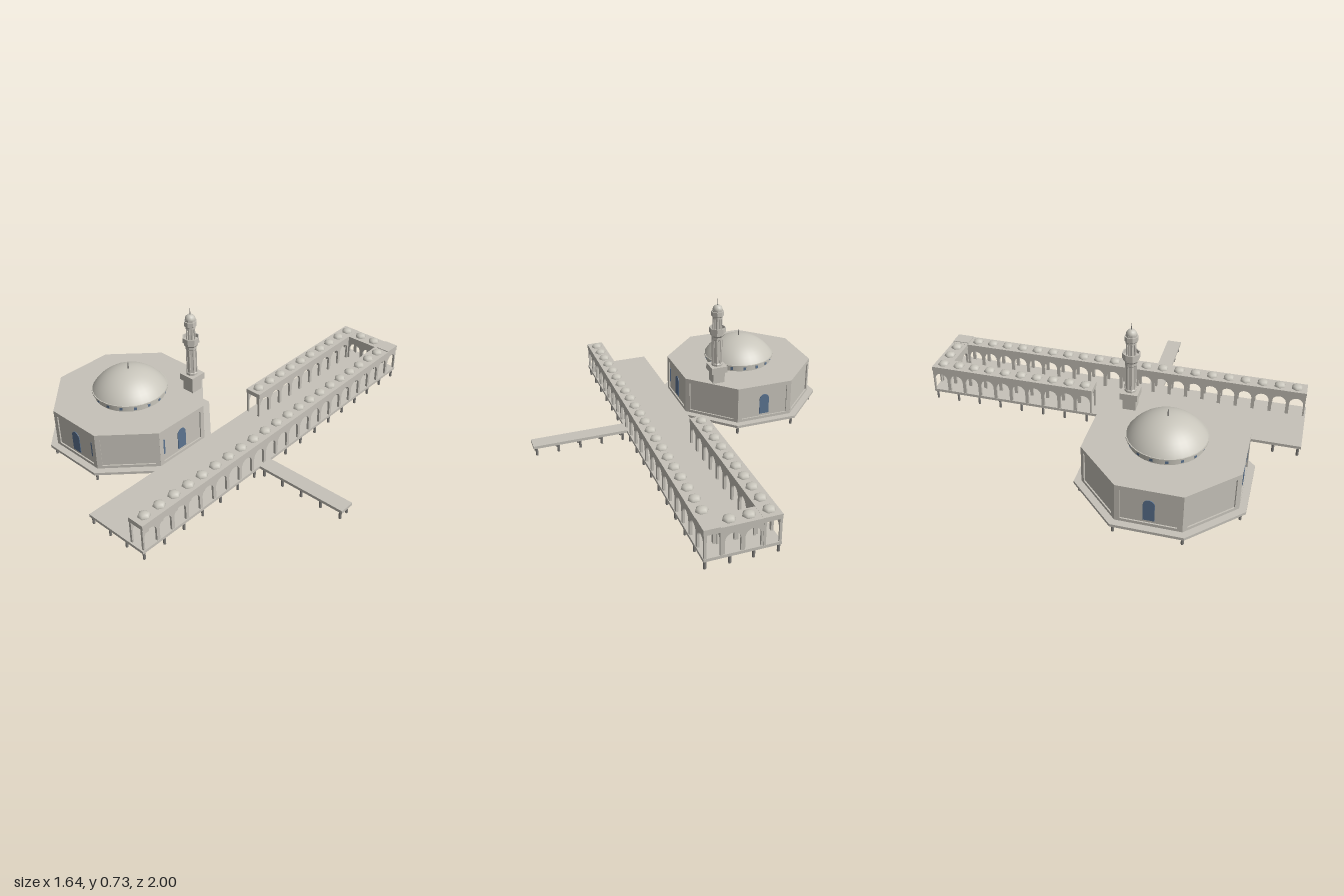
import * as THREE from 'three';
import { mergeGeometries } from 'three/addons/utils/BufferGeometryUtils.js';

const mat = (name, color, extra = {}) => {
  const m = new THREE.MeshStandardMaterial({ color, ...extra });
  m.name = name;
  return m;
};

export function createModel() {
  const stone = mat('stone', 0xc6c2b9, { flatShading: true });
  const domeStone = mat('domeStone', 0xc8c5bb);
  const glass = mat('blueGlass', 0x5b7390);
  const pileGrey = mat('pileGrey', 0x85837f);
  const model = new THREE.Group();

  const add = (parent, name, geo, material, x = 0, y = 0, z = 0) => {
    const m = new THREE.Mesh(geo, material);
    m.name = name;
    m.position.set(x, y, z);
    parent.add(m);
    return m;
  };
  // box given by its limits
  const slab = (name, x0, x1, y0, y1, z0, z1) =>
    add(model, name, new THREE.BoxGeometry(x1 - x0, y1 - y0, z1 - z0), stone,
      (x0 + x1) / 2, (y0 + y1) / 2, (z0 + z1) / 2);
  // regular octagon prism with flat sides facing the axes
  const octagon = (apothem, h) => {
    const r = apothem / Math.cos(Math.PI / 8);
    return new THREE.CylinderGeometry(r, r, h, 8).rotateY(Math.PI / 8);
  };

  // ---- decks
  const CX = -0.413, CZ = 0.387, DECK = 0.06;
  slab('walkwayDeck', -0.035, 0.325, 0.045, DECK, -1, 1);
  slab('jettyDeck', 0.325, 0.82, 0.045, DECK, 0.14, 0.22);
  add(model, 'octagonDeck', octagon(0.408, 0.014), stone, CX, 0.0525, CZ);

  // ---- piles around the deck edges
  const spots = [];
  for (let i = 0; i <= 16; i++) {
    const z = -0.985 + i * 1.97 / 16;
    spots.push([-0.027, z], [0.313, z]);
  }
  for (const z of [-0.985, 0.985]) spots.push([0.09, z], [0.2, z]);
  for (const x of [0.345, 0.46, 0.575, 0.69, 0.803]) spots.push([x, 0.155], [x, 0.207]);
  for (let i = 0; i < 8; i++) {
    const a = (i + 0.5) * Math.PI / 4;
    const x = CX + Math.cos(a) * 0.415, z = CZ + Math.sin(a) * 0.415;
    spots.push([x, z]);
  }
  add(model, 'piles', mergeGeometries(spots.map(([x, z]) =>
    new THREE.CylinderGeometry(0.007, 0.007, 0.048, 6).translate(x, 0.024, z))), pileGrey);

  // ---- octagonal hall
  const hall = new THREE.Group();
  hall.name = 'hall';
  hall.position.set(CX, 0, CZ);
  model.add(hall);
  add(hall, 'hallWalls', octagon(0.367, 0.199), stone, 0, 0.1595, 0);

  const frame = new THREE.Shape([[-0.155, 0.06], [0.155, 0.06], [0.155, 0.26], [-0.155, 0.26]]
    .map(p => new THREE.Vector2(...p)));
  frame.holes.push(new THREE.Path([[-0.13, 0.075], [-0.13, 0.237], [0.13, 0.237], [0.13, 0.075]]
    .map(p => new THREE.Vector2(...p))));
  const frameGeo = new THREE.ExtrudeGeometry(frame, { depth: 0.008, bevelEnabled: false });

  const pane = (w, y0, y1) => {
    const s = new THREE.Shape();
    s.moveTo(-w, y0);
    s.lineTo(w, y0);
    s.lineTo(w, y1 - w);
    s.absarc(0, y1 - w, w, 0, Math.PI, false);
    return new THREE.ExtrudeGeometry(s, { depth: 0.004, bevelEnabled: false, curveSegments: 8 });
  };
  const windowGeo = pane(0.027, 0.088, 0.202), slitGeo = pane(0.005, 0.115, 0.2);
  for (let i = 0; i < 8; i++) {
    const face = new THREE.Group();
    face.name = 'wallFace';
    face.rotation.y = i * Math.PI / 4;
    hall.add(face);
    add(face, 'wallFrame', frameGeo, stone, 0, 0, 0.366);
    if (i % 2 === 0) add(face, 'archedWindow', windowGeo, glass, 0, 0, 0.366);
    if (i === 0) add(face, 'slitWindow', slitGeo, glass, 0.121, 0, 0.366);
    if (i === 2) add(face, 'slitWindow', slitGeo, glass, -0.121, 0, 0.366);
  }
  // roof filling to the top of the frames
  add(hall, 'hallRoof', octagon(0.3735, 0.008), stone, 0, 0.256, 0);

  // ---- drum, great dome and finial
  add(hall, 'drum', new THREE.CylinderGeometry(0.184, 0.184, 0.036, 32), domeStone, 0, 0.277, 0);
  add(hall, 'domeRim', new THREE.CylinderGeometry(0.195, 0.195, 0.008, 32), domeStone, 0, 0.293, 0);
  const R = 0.228, capH = 0.105;
  add(hall, 'greatDome', new THREE.SphereGeometry(R, 32, 10, 0, Math.PI * 2, 0, Math.acos(1 - capH / R)),
    domeStone, 0, 0.4 - R, 0);
  add(hall, 'domeFinial', new THREE.CylinderGeometry(0.002, 0.004, 0.036, 6), pileGrey, 0, 0.416, 0);
  for (let i = 0; i < 16; i++) {
    const a = (i + 0.5) * Math.PI / 8;
    const w = add(hall, 'drumWindow', new THREE.BoxGeometry(0.015, 0.02, 0.004), glass,
      Math.sin(a) * 0.184, 0.277, Math.cos(a) * 0.184);
    w.rotation.y = a;
  }

  // ---- minaret
  const tower = new THREE.Group();
  tower.name = 'minaret';
  tower.position.set(-0.19, 0, 0.155);
  model.add(tower);
  add(tower, 'minaretFoot', new THREE.BoxGeometry(0.066, 0.065, 0.066), stone, 0, 0.2905, 0);
  add(tower, 'minaretPlinth', new THREE.BoxGeometry(0.088, 0.035, 0.088), stone, 0, 0.3375, 0);
  const turned = (name, pts, sides = 8) => add(tower, name, new THREE.LatheGeometry(
    pts.map(p => new THREE.Vector2(...p)), sides).rotateY(Math.PI / sides), stone);
  turned('minaretShaft', [[0.03, 0.355], [0.03, 0.365], [0.026, 0.37], [0.026, 0.5], [0.03, 0.505],
    [0.03, 0.52], [0.038, 0.53], [0.038, 0.542], [0.045, 0.545], [0.045, 0.572], [0.04, 0.572],
    [0.04, 0.552], [0, 0.552]]);
  turned('lanternCore', [[0.015, 0.552], [0.015, 0.632]]);
  turned('lanternCrown', [[0, 0.622], [0.027, 0.622], [0.027, 0.632], [0.034, 0.638], [0.034, 0.662],
    [0.028, 0.662], [0.028, 0.672], [0, 0.672]]);
  for (let i = 0; i < 8; i++) {
    const a = (i + 0.5) * Math.PI / 4, c = Math.cos(a), s = Math.sin(a);
    add(tower, 'shaftRib', new THREE.CylinderGeometry(0.004, 0.004, 0.135, 6), stone, c * 0.0255, 0.435, s * 0.0255);
    add(tower, 'lanternColumn', new THREE.CylinderGeometry(0.004, 0.004, 0.075, 6), stone, c * 0.021, 0.587, s * 0.021);
  }
  add(tower, 'minaretDome', new THREE.SphereGeometry(0.027, 12, 6, 0, Math.PI * 2, 0, Math.PI / 2),
    domeStone, 0, 0.67, 0);
  add(tower, 'minaretSpire', new THREE.CylinderGeometry(0.001, 0.003, 0.036, 6), pileGrey, 0, 0.712, 0);

  // ---- arcades: rows of open arches under a domed roof
  const archWall = (n, pitch) => {
    const s = new THREE.Shape(), r = 0.0365, spring = 0.125;
    s.moveTo(0, DECK);
    for (let i = 0; i < n; i++) {
      const c = (i + 0.5) * pitch;
      s.lineTo(c - r, DECK);
      s.lineTo(c - r, spring);
      s.absarc(c, spring, r, Math.PI, 0, true);
      s.lineTo(c + r, DECK);
    }
    s.lineTo(n * pitch, DECK);
    s.lineTo(n * pitch, 0.188);
    s.lineTo(0, 0.188);
    return new THREE.ExtrudeGeometry(s, { depth: 0.012, bevelEnabled: false, curveSegments: 10 });
  };
  // wall running along z, starting at z = -1
  const sideWall = (name, n, x) =>
    add(model, name, archWall(n, 0.0905).rotateY(-Math.PI / 2).translate(0.006, 0, 0), stone, x, 0, -0.999);
  for (const x of [0.243, 0.316]) sideWall('longArcadeWall', 22, x);
  for (const x of [-0.027, 0.047]) sideWall('shortArcadeWall', 10, x);
  for (const z of [-0.997, -0.923]) add(model, 'endArcadeWall', archWall(2, 0.092), stone, 0.053, 0, z);

  slab('longArcadeRoof', 0.235, 0.325, 0.178, 0.202, -1, 0.993);
  slab('shortArcadeRoof', -0.035, 0.055, 0.178, 0.202, -1, -0.092);
  slab('endArcadeRoof', 0.055, 0.235, 0.178, 0.201, -1, -0.908);
  slab('cornerRoof', 0.248, 0.325, 0.202, 0.206, -1, -0.908);

  const caps = [[0.105, -0.955], [0.195, -0.955]];
  for (let i = 0; i < 21; i++) caps.push([0.28, -0.86 + i * 0.09]);
  for (let i = 0; i < 10; i++) caps.push([0.01, -0.95 + i * 0.09]);
  add(model, 'arcadeDomes', mergeGeometries(caps.map(([x, z]) =>
    new THREE.SphereGeometry(0.031, 6, 4, 0, Math.PI * 2, 0, Math.PI / 2)
      .scale(1, 0.68, 1).translate(x, 0.201, z))), domeStone);

  return model;
}
